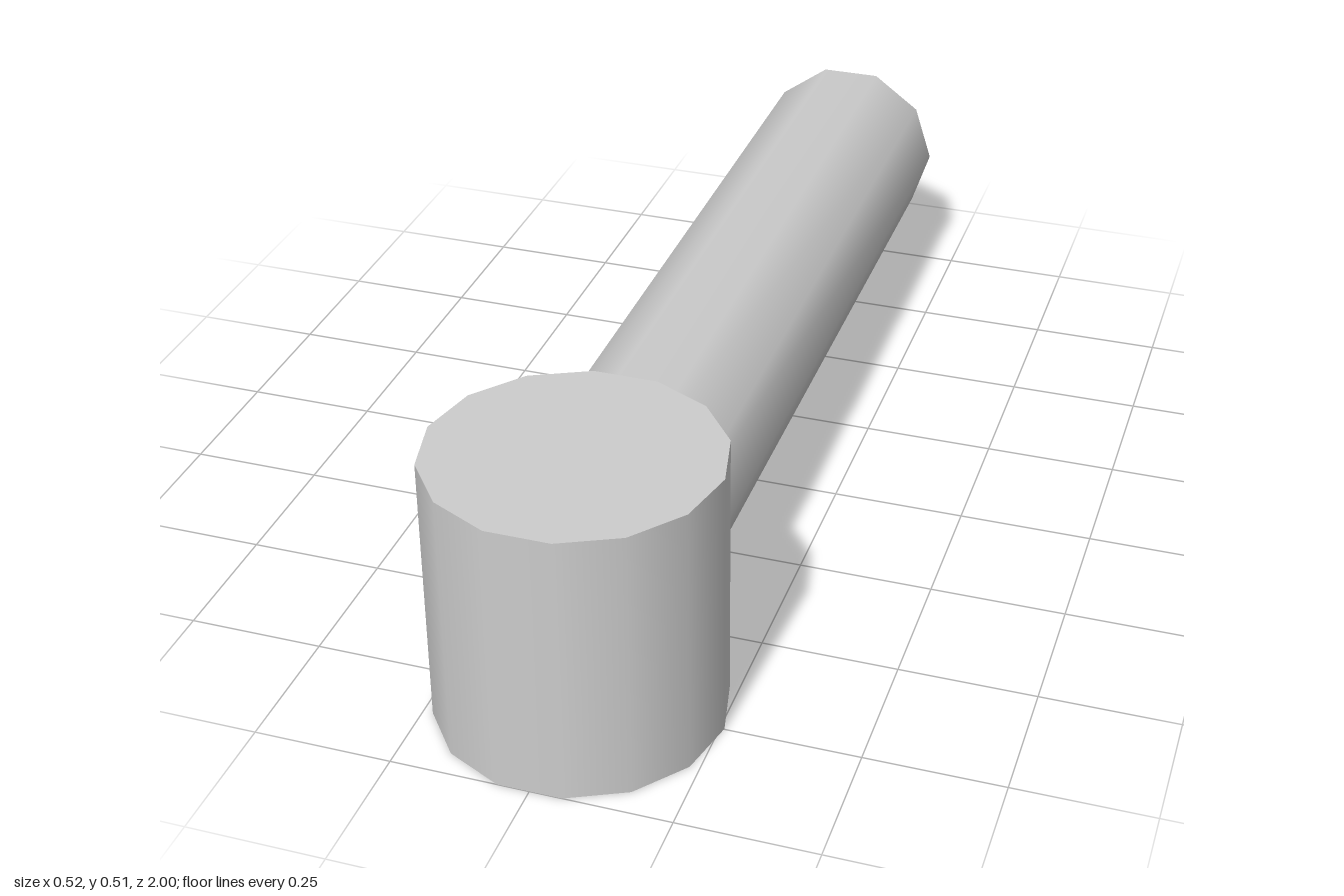
import * as THREE from 'three';

export function createModel() {
  const model = new THREE.Group();
  model.name = 'mallet';
  const grey = new THREE.MeshStandardMaterial({ color: 0xcccccc, side: THREE.DoubleSide });
  grey.name = 'plain grey';

  const headRadius = 0.258, headHeight = 0.51;
  const headZ = 1 - headRadius * Math.cos(Math.PI / 14);

  // Upright closed head, with a corner on each side
  const headShape = new THREE.CylinderGeometry(headRadius, headRadius, headHeight, 14);
  headShape.rotateY(Math.PI / 2);
  const head = new THREE.Mesh(headShape, grey);
  head.name = 'head';
  head.position.set(0, headHeight / 2, headZ);
  model.add(head);

  // Open tubular handle, running from the middle of the head to the back
  const handleLength = headZ + 1;
  const handleShape = new THREE.CylinderGeometry(0.188, 0.188, handleLength, 10, 1, true);
  handleShape.rotateY(Math.PI / 2).rotateX(Math.PI / 2);
  const handle = new THREE.Mesh(handleShape, grey);
  handle.name = 'handle';
  handle.position.set(0, headHeight / 2, headZ - handleLength / 2);
  model.add(handle);

  return model;
}
